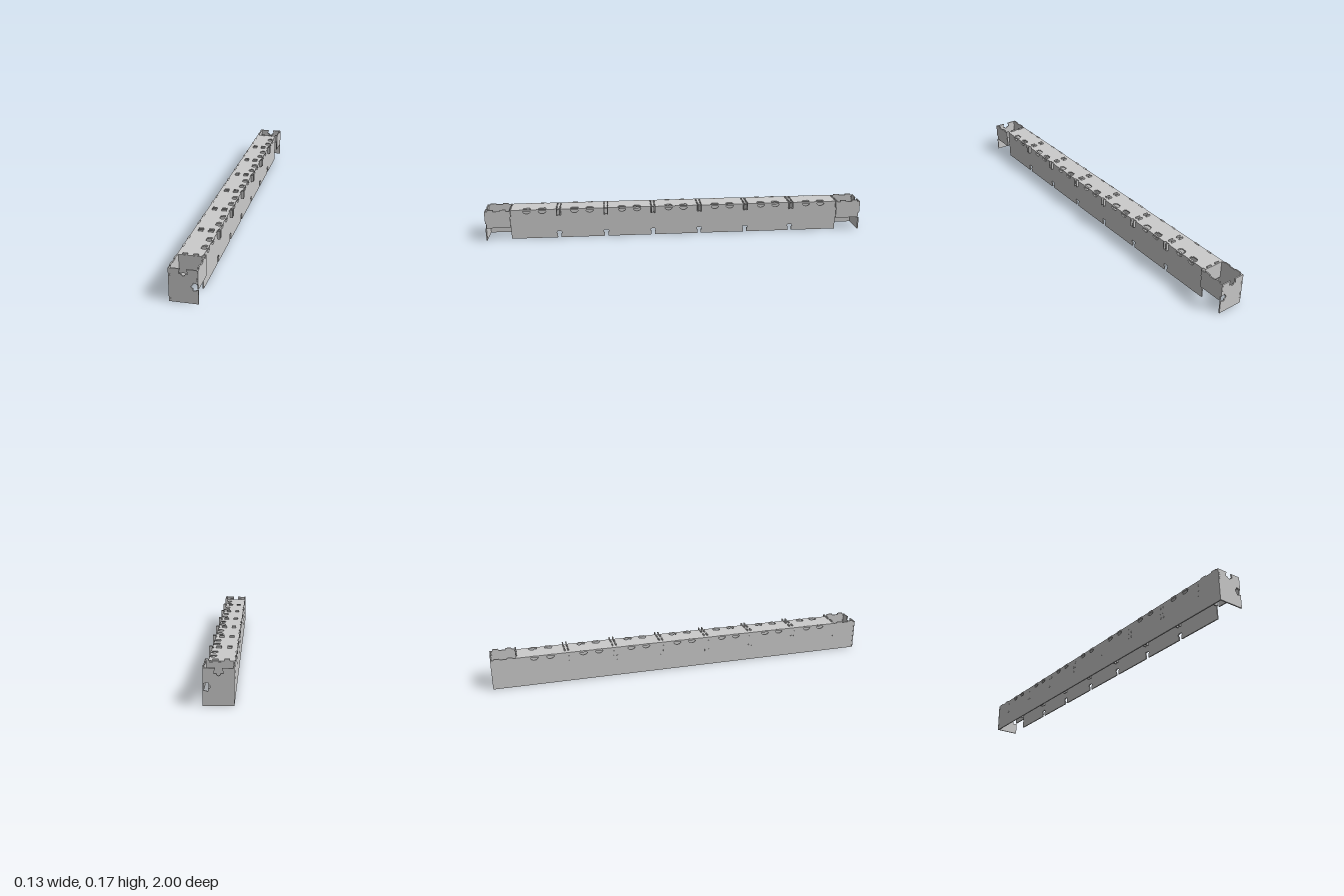
import * as THREE from 'three';

const T = 0.006;                    // sheet thickness
const PLATE = 0.157, TAB = 0.165;   // deck level, tab level
const END = 0.87, SILL = 0.067;     // end of covered part, underside of bulkheads
const JOINTS = [-0.62, -0.373, -0.124, 0.124, 0.373, 0.62];
const BAYS = [-0.745, -0.497, -0.248, 0, 0.248, 0.497, 0.745];
const CLIPS = BAYS.flatMap((b) => [b - 0.04, b + 0.04]);
const mat = new THREE.MeshStandardMaterial({ color: 0xcccccc, flatShading: true });

// Flat sheet cut from an outline, with optional holes
function sheet(points, holes = [], depth = T) {
  const toVec = (p) => new THREE.Vector2(p[0], p[1]);
  const shape = new THREE.Shape(points.map(toVec));
  holes.forEach((h) => shape.holes.push(new THREE.Path(h.map(toVec))));
  return new THREE.ExtrudeGeometry(shape, { depth, bevelEnabled: false });
}

const rect = (x0, x1, y0, y1) => [[x0, y0], [x1, y0], [x1, y1], [x0, y1]];

// Half-round clip window under the deck
function clipWindow(c) {
  const pts = [];
  for (let i = 0; i <= 8; i++) {
    const a = (Math.PI * i) / 8;
    pts.push([c + 0.02 * Math.cos(a), 0.149 - 0.014 * Math.sin(a)]);
  }
  return pts;
}

// Step profile along a straight edge: raised to 'high' inside each [a, b]
function steps(list, low, high) {
  return list.flatMap(([a, b]) => [[a, low], [a, high], [b, high], [b, low]]);
}

export function createModel() {
  const group = new THREE.Group();
  const add = (geo, name, x = 0, y = 0, z = 0) => {
    const m = new THREE.Mesh(geo, mat);
    m.name = name;
    m.position.set(x, y, z);
    group.add(m);
    return m;
  };
  const box = (name, x0, x1, y0, y1, z0, z1) =>
    add(new THREE.BoxGeometry(x1 - x0, y1 - y0, z1 - z0), name,
      (x0 + x1) / 2, (y0 + y1) / 2, (z0 + z1) / 2);
  // Upright sheet drawn in (z, y) with its outer face at x
  const side = (geo, name, x) => add(geo.rotateY(-Math.PI / 2), name, x);

  // Full-length wall, with raised teeth beside the open ends
  const teeth = [[-0.985, -0.955], [-0.92, -0.89], [0.89, 0.92], [0.955, 0.985]];
  side(sheet([[-1 + T, 0], [1 - T, 0], [1 - T, PLATE],
    ...steps(teeth, PLATE, 0.162).reverse(), [-1 + T, PLATE]],
  CLIPS.map(clipWindow)), 'longWall', -0.058);

  // Shorter wall with keyhole slots along the bottom and notches along the top
  const lower = JOINTS.flatMap((z) => [
    [z - 0.009, 0], [z - 0.009, 0.02], [z - 0.014, 0.024], [z - 0.011, 0.034],
    [z + 0.011, 0.034], [z + 0.014, 0.024], [z + 0.009, 0.02], [z + 0.009, 0]]);
  const upper = JOINTS.flatMap((z) => [
    [z - 0.012, PLATE], [z - 0.012, 0.125], [z + 0.012, 0.125], [z + 0.012, PLATE]]);
  side(sheet([[-END, 0], ...lower, [END, 0], [END, PLATE],
    ...upper.reverse(), [-END, PLATE]], CLIPS.map(clipWindow)), 'slottedWall', 0.05);

  // Deck with clip openings near the slotted wall
  add(sheet(rect(-0.058, 0.044, -0.875, 0.875),
    CLIPS.map((z) => [[0.02, z - 0.015], [0.027, z - 0.015], [0.027, z - 0.02], [0.043, z - 0.02],
      [0.043, z + 0.02], [0.027, z + 0.02], [0.027, z + 0.015], [0.02, z + 0.015]]))
    .rotateX(-Math.PI / 2), 'deck', 0, PLATE - T, 0);

  // Bulkheads: paired at every joint, single at both ends of the deck
  const bulkhead = () => sheet([[-0.058, SILL], [0.05, SILL], [0.05, 0.125], [0.064, 0.125],
    [0.064, TAB], [0.05, TAB], [0.046, 0.15],
    ...steps([[-0.04, -0.018], [0.008, 0.032]], 0.15, TAB).reverse(), [-0.058, 0.15]]);
  const plates = [-END, END, ...JOINTS.flatMap((z) => [z - 0.009, z + 0.009])];
  plates.forEach((z) => {
    add(bulkhead(), 'bulkhead', 0, 0, z - T / 2);
    // Joint tongues through the long wall
    for (const y of [0.08, 0.105, 0.13]) {
      box('wallTongue', -0.065, -0.058, y, y + 0.009, z - T / 2, z + T / 2);
    }
  });

  // Edge fingers of the deck, seated in both walls
  CLIPS.forEach((z) => {
    box('deckFinger', -0.0655, -0.058, 0.15, 0.1585, z - 0.014, z + 0.014);
    box('deckFinger', 0.044, 0.0525, 0.15, 0.1585, z - 0.014, z + 0.014);
  });

  // End plates with dovetail sockets in the top and side edges
  const endOutline = [[-0.065, 0], [0.064, 0], [0.064, 0.066], [0.042, 0.06],
    [0.042, 0.071], [0.035, 0.074], [0.032, 0.08], [0.035, 0.086], [0.042, 0.089],
    [0.042, 0.098], [0.064, 0.092], [0.064, PLATE], [0.014, PLATE], [0.02, 0.135],
    [0.009, 0.135], [0.006, 0.128], [0, 0.125], [-0.006, 0.128], [-0.009, 0.135],
    [-0.02, 0.135], [-0.014, PLATE], [-0.065, PLATE]];
  for (const s of [1, -1]) {
    add(sheet(endOutline), s > 0 ? 'frontPlate' : 'backPlate', 0, 0, s > 0 ? 1 - T : -1);

    // Half-height side of the open end compartment
    const z0 = s > 0 ? END : -1 + T;
    const z1 = s > 0 ? 1 - T : -END;
    const raised = teeth.filter(([a]) => a * s > 0);
    side(sheet([[z0, SILL], [z1, SILL], [z1, PLATE],
      ...steps(raised, PLATE, TAB).reverse(), [z0, PLATE]]), 'endSide', 0.064);

    // Small tongues showing through the end plate
    const zf = s > 0 ? [0.99, 1] : [-1, -0.99];
    const tongue = (x, y) => box('endTongue', x - 0.0015, x + 0.0015, y, y + 0.007, zf[0] - 0.0005, zf[1] + 0.0005);
    for (let i = 0; i < 4; i++) {
      tongue(-0.058, 0.013 + i * 0.0135);
      tongue(-0.058, 0.102 + i * 0.0135);
      tongue(0.057, 0.102 + i * 0.0135);
    }
  }
  return group;
}
